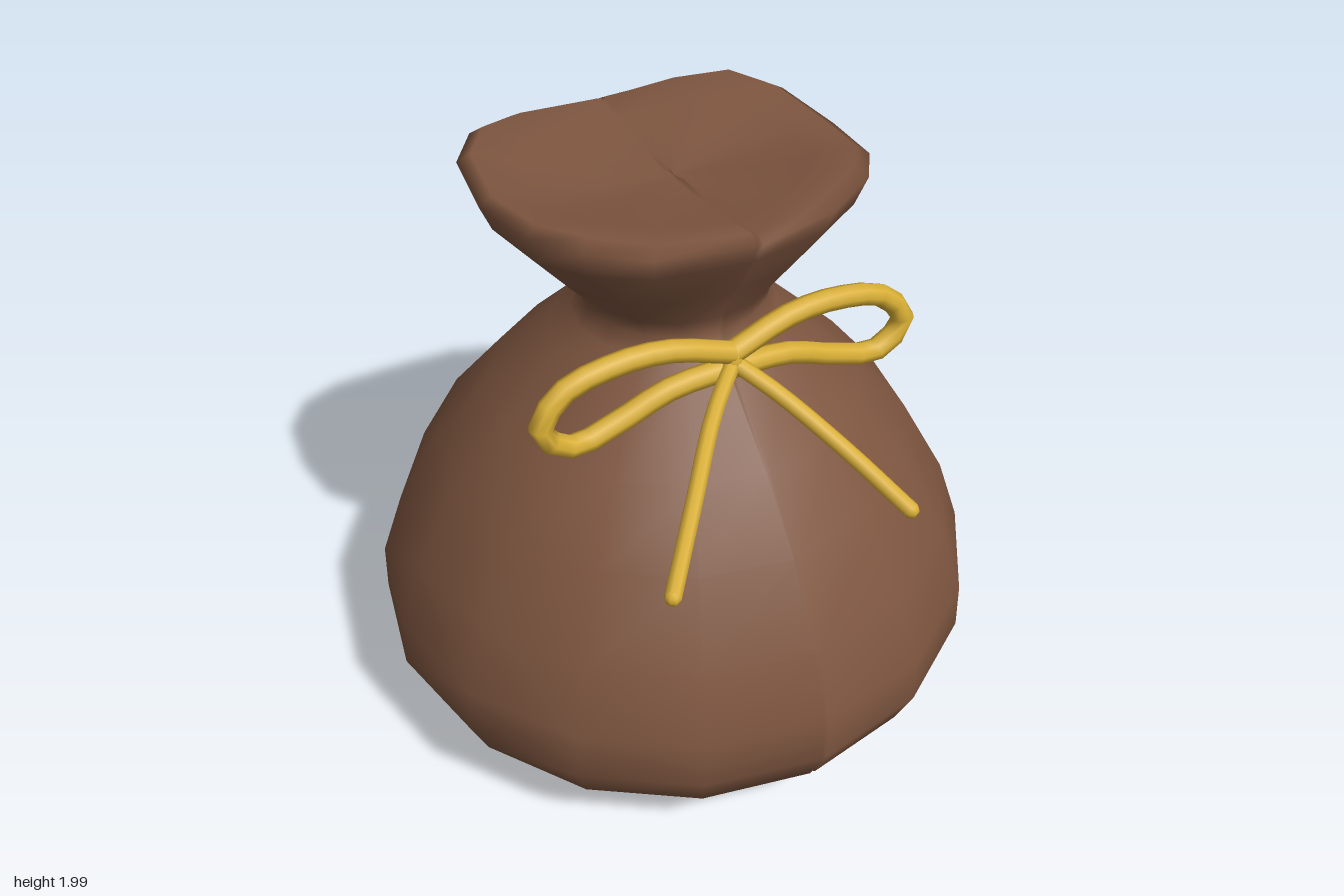
import * as THREE from 'three';

const brown = new THREE.MeshStandardMaterial({ color: 0x7d553f, roughness: 0.9 });
const gold = new THREE.MeshStandardMaterial({ color: 0xd8ae34, roughness: 0.8 });
const SIDES = 16;

// Round body from the base to the neck: y, radius
const body = [
  [0.005, 0], [0.012, 0.38], [0.045, 0.6], [0.12, 0.79], [0.23, 0.93], [0.36, 0.99], [0.52, 0.985],
  [0.74, 0.91], [1.0, 0.765], [1.2, 0.595], [1.39, 0.395], [1.46, 0.32], [1.52, 0.292],
];
// Flared mouth, squarer towards the lip: y, half width, half depth, squareness, corner lift
const mouth = [
  [1.58, 0.305, 0.305, 0.2, 0], [1.72, 0.425, 0.39, 0.6, 0],
  [1.86, 0.545, 0.475, 1, 0.02], [1.925, 0.58, 0.505, 1, 0.045],
];
// Dished top from the lip to the middle, same columns
const dish = [
  [1.945, 0.54, 0.465, 1, 0.053], [1.925, 0.42, 0.35, 0.9, 0.04],
  [1.905, 0.22, 0.18, 0.5, 0.01], [1.9, 0.04, 0.04, 0, 0], [1.898, 0, 0, 0, 0],
];

// Each ring has 16 corners; the front and back ones are split in three for the seam groove
function makeSack() {
  const rings = [...body.map(([y, r]) => [y, r, r, 0, 0]), ...mouth, ...dish];
  const dishStart = body.length + mouth.length;
  const columns = SIDES + 4;
  const pos = [], index = [];
  rings.forEach(([y, rx, rz, square, lift], r) => {
    // the groove cuts inward on the outside and downward on the dish
    const onDish = r >= dishStart;
    const cut = onDish ? 0 : Math.min(0.015, y * 0.1);
    const drop = onDish ? Math.min(0.014, rx * 0.35) : 0;
    const w = Math.min(0.008, rx * 0.2);
    const bend = v => Math.sign(v) * Math.pow(Math.abs(v), 1 - 0.25 * square);
    for (let i = 0; i < SIDES; i++) {
      const a = (i / SIDES) * Math.PI * 2;
      const s = Math.sin(a), c = Math.cos(a);
      // corners rise most, the two sides a little
      const up = y + lift * Math.min(1, Math.sin(2 * a) ** 2 + (s < 0 ? 0.6 : 0.2) * s ** 4);
      const z = rz * bend(c);
      if (i % (SIDES / 2) === 0) {
        const dir = Math.sign(c);
        pos.push(-w * dir, up, z, 0, up - drop, z - dir * cut, w * dir, up, z);
      } else {
        pos.push(rx * bend(s) - 0.03 * square, up, z);
      }
    }
  });
  const last = rings.length - 2;
  for (let r = 0; r <= last; r++) {
    for (let i = 0; i < columns; i++) {
      const a = r * columns + i, b = r * columns + (i + 1) % columns;
      const c = b + columns, d = a + columns;
      if (r > 0) index.push(a, b, c);
      if (r < last) index.push(a, c, d);
    }
  }
  const g = new THREE.BufferGeometry();
  g.setAttribute('position', new THREE.Float32BufferAttribute(pos, 3));
  g.setIndex(index);
  g.computeVertexNormals();
  return g;
}

function cord(name, points, radius, segments) {
  const curve = new THREE.CatmullRomCurve3(points.map(p => new THREE.Vector3(...p)));
  const mesh = new THREE.Mesh(new THREE.TubeGeometry(curve, segments, radius, 8), gold);
  mesh.name = name;
  return mesh;
}

export function createModel() {
  const model = new THREE.Group();
  model.name = 'tiedSack';

  const sack = new THREE.Mesh(makeSack(), brown);
  sack.name = 'sack';
  model.add(sack);

  const bow = new THREE.Group();
  bow.name = 'bow';
  for (const side of [1, -1]) {
    const label = side > 0 ? 'left' : 'right';
    // loop
    bow.add(cord(label + 'Loop', [
      [0, 1.49, 0.365], [0.2, 1.55, 0.35], [0.37, 1.555, 0.345], [0.54, 1.51, 0.345],
      [0.613, 1.41, 0.355], [0.52, 1.325, 0.355], [0.37, 1.355, 0.35],
      [0.2, 1.415, 0.35], [0, 1.435, 0.36],
    ].map(([x, y, z]) => [x * side, y, z]), 0.036, 20));

    // hanging tail with a rounded end
    const k = side > 0 ? 0.37 : -0.43;
    const end = [k, 1.07, 0.805];
    bow.add(cord(label + 'Tail', [
      [0, 1.46, 0.37], [k * 0.28, 1.37, 0.47], [k * 0.64, 1.23, 0.64], end,
    ], 0.026, 10));
    const tip = new THREE.Mesh(new THREE.SphereGeometry(0.026, 8, 6), gold);
    tip.name = label + 'TailTip';
    tip.position.set(...end);
    bow.add(tip);
  }
  // knot
  const knot = new THREE.Mesh(new THREE.SphereGeometry(0.04, 10, 8), gold);
  knot.name = 'knot';
  knot.scale.set(0.9, 1.2, 0.9);
  knot.position.set(0, 1.463, 0.365);
  bow.add(knot);
  model.add(bow);

  return model;
}
